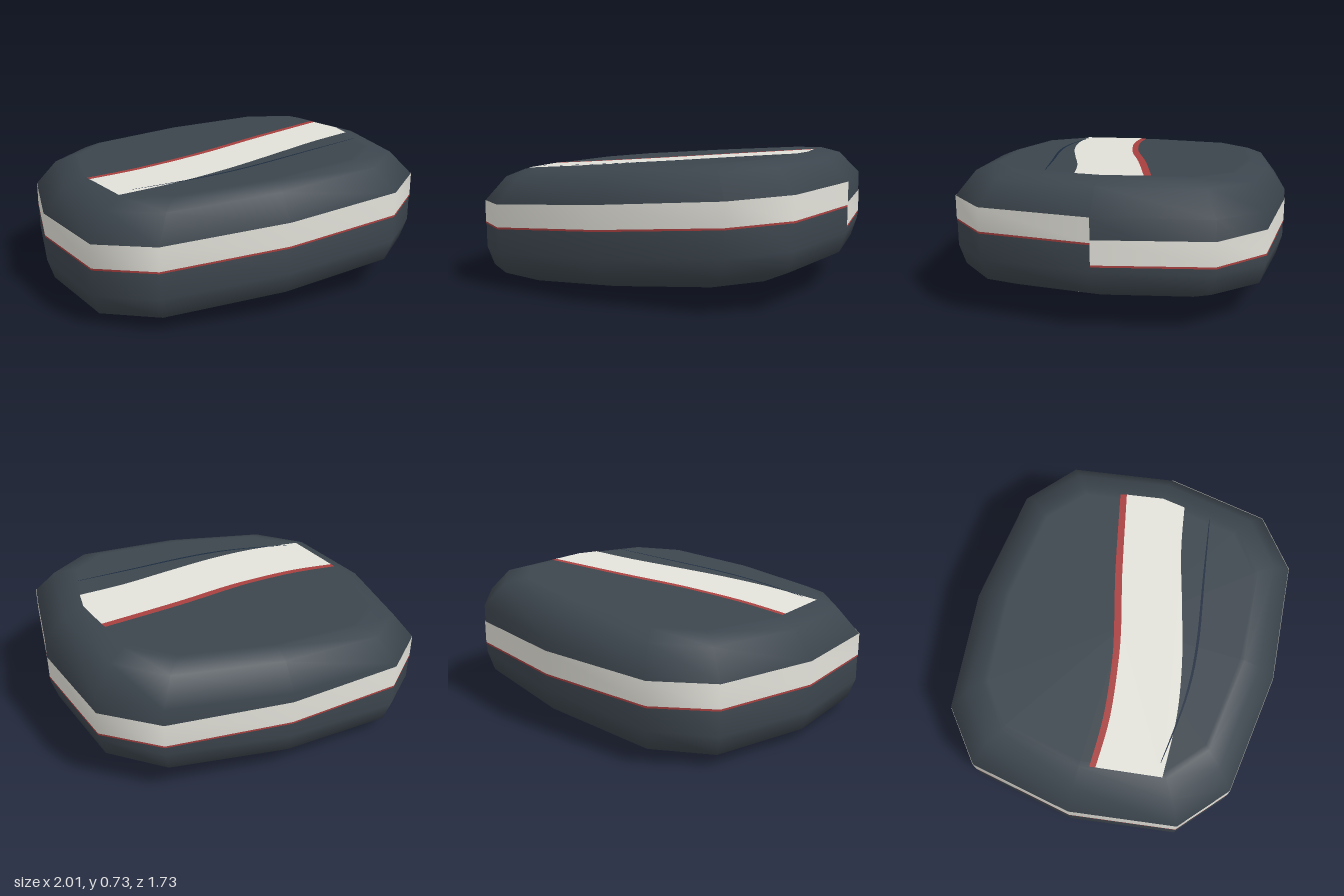
import * as THREE from 'three';

const mat = (name, color, side = THREE.FrontSide) => {
  const m = new THREE.MeshStandardMaterial({ color, side });
  m.name = name;
  return m;
};

// twelve-sided outline (x, z), starting and ending at the seam on +x
const quarter = [[1, 0], [0.91, 0.57], [0.65, 0.79], [0, 0.86]];
const half = [...quarter, ...quarter.slice(0, 3).reverse().map(([x, z]) => [-x, z])];
const outline = [...half, ...half.slice(0, 6).reverse().map(([x, z]) => [x, -z])];

// the whole form leans upward toward +x
const SLOPE = 0.0765, MID = 0.36, CAP = 0.3;
const lean = (g) => {
  const p = g.attributes.position;
  for (let i = 0; i < p.count; i++) p.setY(i, p.getY(i) + MID + SLOPE * p.getX(i));
  g.computeVertexNormals();
  return g;
};

// skin a list of rings of [x, y, z]; rings run from bottom to top
function skin(rings, closed) {
  const n = rings[0].length, index = [];
  for (let i = 0; i < rings.length - 1; i++) {
    for (let j = 0; j < (closed ? n : n - 1); j++) {
      const k = (j + 1) % n;
      const a = i * n + j, b = i * n + k, c = b + n, d = a + n;
      index.push(a, d, c, a, c, b);
    }
  }
  const g = new THREE.BufferGeometry();
  g.setAttribute('position', new THREE.Float32BufferAttribute(rings.flat(2), 3));
  g.setIndex(index);
  return lean(g);
}

// flat plate from an (x, z) boundary at local height y
function plate(points, y) {
  const shape = new THREE.Shape(points.map(([x, z]) => new THREE.Vector2(x, -z)));
  return lean(new THREE.ShapeGeometry(shape).rotateX(-Math.PI / 2).translate(0, y, 0));
}

// smooth line through a few (x, z) points
const smooth = (pts) => new THREE.SplineCurve(pts.map(([x, z]) => new THREE.Vector2(x, z)))
  .getPoints(24).map((v) => [v.x, v.y]);

export function createModel() {
  const group = new THREE.Group();
  const slate = mat('slate', 0x3c454d);
  const ivory = mat('ivory', 0xe2e1d9, THREE.DoubleSide);
  const red = mat('red', 0xa84040, THREE.DoubleSide);
  const navy = mat('navy', 0x1b2a3e, THREE.DoubleSide);
  const add = (name, geometry, material) => {
    const mesh = new THREE.Mesh(geometry, material);
    mesh.name = name;
    group.add(mesh);
  };

  // body: rounded slab with flat top and bottom
  const profile = [[0, -CAP], [0.76, -CAP], [0.79, -CAP], [0.965, -0.232], [1, -0.125],
    [1, 0.14], [0.89, 0.265], [0.79, CAP], [0.76, CAP], [0, CAP]];
  const ring = outline.slice(0, 12);
  add('body', skin(profile.map(([s, y]) => ring.map(([x, z]) => [x * s, y, z * s])), true), slate);

  // side band: level along the front, dropping along the back to a step at the seam
  const loop = [...ring, ring[0]];
  const drop = (x, j) => (j > 6 ? -0.054 * (x + 1) : 0);
  const band = (lo, hi, s) => skin([lo, hi].map((y) =>
    loop.map(([x, z], j) => [x * s, y + drop(x, j), z * s])), false);
  add('sideBand', band(0.018, 0.14, 1.003), ivory);
  add('sideBandTrim', band(0.008, 0.018, 1.003), red);

  // curved stripe and its red edge, on both faces
  const edge = smooth([[-0.77, 0.085], [-0.5, 0.08], [-0.2, 0.035], [0, -0.01],
    [0.3, -0.095], [0.75, -0.205]]);
  const lower = smooth([[0.765, 0.13], [0.5, 0.185], [0.2, 0.275], [-0.1, 0.36],
    [-0.4, 0.415], [-0.72, 0.43]]);
  const trim = smooth([[0.742, -0.24], [0.3, -0.135], [0, -0.05], [-0.2, 0],
    [-0.5, 0.045], [-0.775, 0.053]]);
  for (const [side, y] of [['top', CAP + 0.004], ['bottom', -CAP - 0.002]]) {
    add(side + 'Stripe', plate([...edge, [0.783, 0], ...lower], y), ivory);
    add(side + 'StripeTrim', plate([...edge, ...trim], y), red);
  }

  // fine accent line on the top face
  const line = smooth([[-0.65, 0.4], [-0.3, 0.427], [0, 0.408], [0.4, 0.338], [0.73, 0.283]]);
  const under = line.map(([x, z], i) =>
    [x, z + 0.003 + 0.011 * Math.sin((Math.PI * i) / 24)]).reverse();
  add('accentLine', plate([...line, ...under], CAP + 0.009), navy);

  return group;
}
